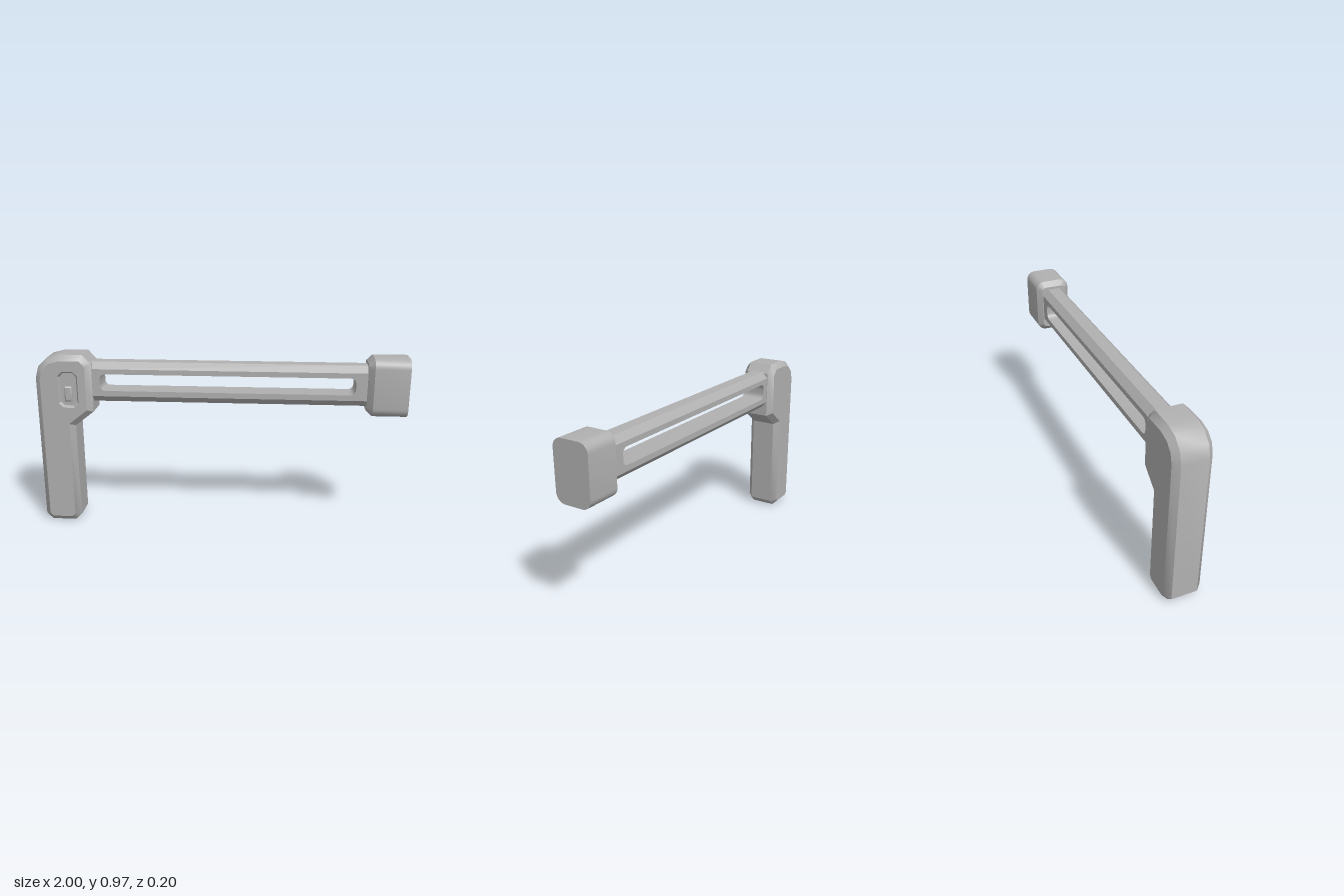
import * as THREE from 'three';
import { mergeGeometries, toCreasedNormals } from 'three/addons/utils/BufferGeometryUtils.js';

const V = (x, y) => new THREE.Vector2(x, y);

// Counter-clockwise rectangle with rounded (or, with one segment, cut) corners
function roundRect(x0, x1, y0, y1, r, seg) {
  const corners = [[x1 - r, y1 - r], [x0 + r, y1 - r], [x0 + r, y0 + r], [x1 - r, y0 + r]];
  return corners.flatMap(([cx, cy], q) => Array.from({ length: seg + 1 }, (_, i) => {
    const a = (q + i / seg) * Math.PI / 2;
    return V(cx + r * Math.cos(a), cy + r * Math.sin(a));
  }));
}

// Move every edge of a counter-clockwise outline inward by d
function inset(pts, d) {
  return pts.map((p, i) => {
    const a = p.clone().sub(pts[(i + pts.length - 1) % pts.length]).normalize();
    const b = pts[(i + 1) % pts.length].clone().sub(p).normalize();
    const n = V(-a.y - b.y, a.x + b.x);
    return p.clone().addScaledVector(n, d / (1 + a.dot(b)));
  });
}

// Walls through rings [outline, z] in order of rising z; inward makes a hole's walls
function walls(rings, inward = false) {
  const pos = [];
  for (let k = 0; k + 1 < rings.length; k++) {
    const [lo, z0] = rings[k], [hi, z1] = rings[k + 1];
    lo.forEach((p, i) => {
      const j = (i + 1) % lo.length;
      let quad = [[p, z0], [lo[j], z0], [hi[j], z1], [hi[i], z1]];
      if (inward) quad = quad.reverse();
      for (const c of [0, 1, 2, 0, 2, 3]) pos.push(quad[c][0].x, quad[c][0].y, quad[c][1]);
    });
  }
  return new THREE.BufferGeometry().setAttribute('position', new THREE.Float32BufferAttribute(pos, 3));
}

// Flat face at height z, optionally pierced, facing +z or (back) -z
function face(pts, z, holes = [], back = false) {
  const shape = new THREE.Shape(pts);
  shape.holes = holes.map(h => new THREE.Path(h));
  const g = new THREE.ShapeGeometry(shape);
  if (back) g.index.array.reverse();
  const flat = g.toNonIndexed().translate(0, 0, z);
  flat.deleteAttribute('uv');
  flat.deleteAttribute('normal');
  return flat;
}

export function createModel() {
  const group = new THREE.Group();
  const grey = new THREE.MeshStandardMaterial({ color: 0xb0b0b0 });
  grey.name = 'grey';

  const add = (name, parts) => {
    const mesh = new THREE.Mesh(toCreasedNormals(mergeGeometries(parts), 0.6), grey);
    mesh.name = name;
    group.add(mesh);
    return mesh;
  };

  // Handle: bevelled grip and head, with a shallow pocket in the front
  const outline = [
    V(-0.965, 0.005), V(-0.83, 0.005), V(-0.795, 0.04), V(-0.795, 0.575), V(-0.692, 0.655),
    V(-0.692, 0.92), V(-0.738, 0.97)
  ];
  for (let i = 0; i <= 3; i++) {
    const a = Math.PI / 2 * (1 + i / 3);
    outline.push(V(-0.865 + 0.135 * Math.cos(a), 0.84 + 0.13 * Math.sin(a)));
  }
  outline.push(V(-1, 0.04));
  outline.forEach(p => { p.y = Math.max(0, p.y - 0.003); });
  const small = inset(outline, 0.03);
  const pocket = roundRect(-0.873, -0.765, 0.68, 0.88, 0.025, 1);
  const pocketFloor = inset(pocket, 0.01);
  add('handle', [
    walls([[small, -0.1], [outline, -0.07], [outline, 0.07], [small, 0.1]]),
    face(small, -0.1, [], true),
    face(small, 0.1, [pocket]),
    walls([[pocketFloor, 0.085], [pocket, 0.1]], true),
    face(pocketFloor, 0.085)
  ]);

  // Button: small raised block inside the pocket
  const button = roundRect(-0.842, -0.8, 0.713, 0.797, 0.003, 1);
  const buttonTop = inset(button, 0.008);
  add('button', [
    walls([[button, 0.084], [button, 0.09], [buttonTop, 0.097]]),
    face(buttonTop, 0.097)
  ]);

  // Arm: eight-sided bar with a long slot right through it
  const bar = (y0, y1) => [V(-0.71, y0), V(0.8, y0), V(0.8, y1), V(-0.71, y1)];
  const wide = bar(0.705, 0.925), narrow = bar(0.74, 0.89);
  const slot = roundRect(-0.65, 0.725, 0.77, 0.862, 0.03, 5);
  add('arm', [
    walls([[narrow, -0.068], [wide, -0.034], [wide, 0.034], [narrow, 0.068]]),
    face(narrow, -0.068, [slot], true),
    face(narrow, 0.068, [slot]),
    walls([[slot, -0.068], [slot, 0.068]], true)
  ]);

  // End block: rounded cross-section running along x, bevelled on the inner side
  const section = roundRect(-0.1, 0.1, 0.655, 0.968, 0.05, 6);
  const sectionSmall = inset(section, 0.028);
  add('endBlock', [
    walls([[sectionSmall, 0.785], [section, 0.815], [section, 1]]),
    face(sectionSmall, 0.785, [], true),
    face(section, 1)
  ]).geometry.rotateY(Math.PI / 2);

  return group;
}
